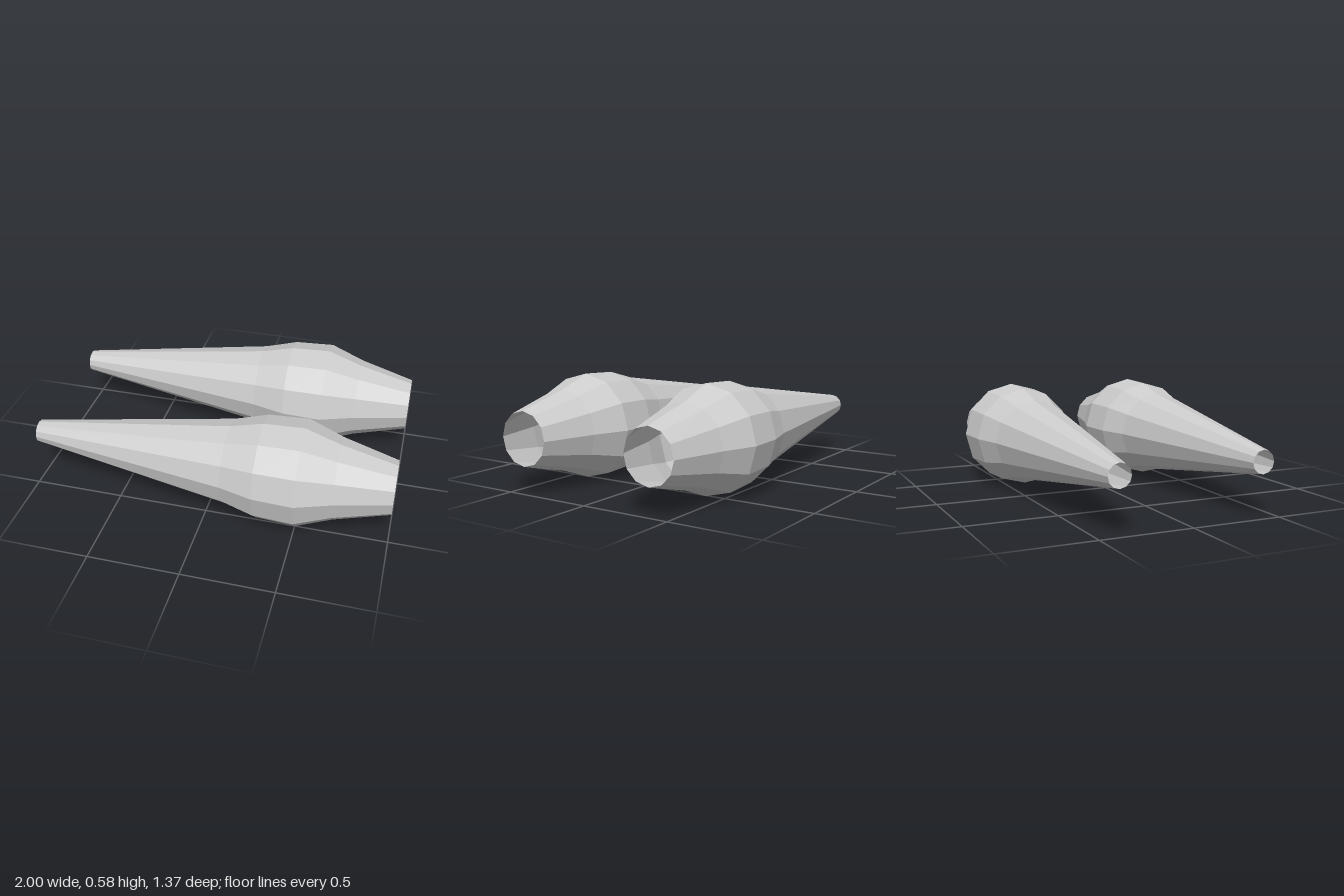
import * as THREE from 'three';

export function createModel() {
  const group = new THREE.Group();
  const material = new THREE.MeshStandardMaterial({
    color: 0xcccccc, flatShading: true, side: THREE.DoubleSide,
  });

  // Radius along the length, from the narrow tail to the wide mouth
  const profile = [
    [0.062, -1], [0.232, 0.11], [0.281, 0.29], [0.291, 0.51], [0.222, 0.7], [0.145, 1],
  ].map(([r, x]) => new THREE.Vector2(r, x));

  // Open twelve-sided shell, laid along x
  const shell = new THREE.LatheGeometry(profile, 12);
  shell.rotateZ(-Math.PI / 2);

  // Matching pair, side by side
  for (const [name, z] of [['frontNacelle', 0.396], ['backNacelle', -0.396]]) {
    const nacelle = new THREE.Mesh(shell, material);
    nacelle.name = name;
    nacelle.position.set(0, 0.291, z);
    group.add(nacelle);
  }
  return group;
}
